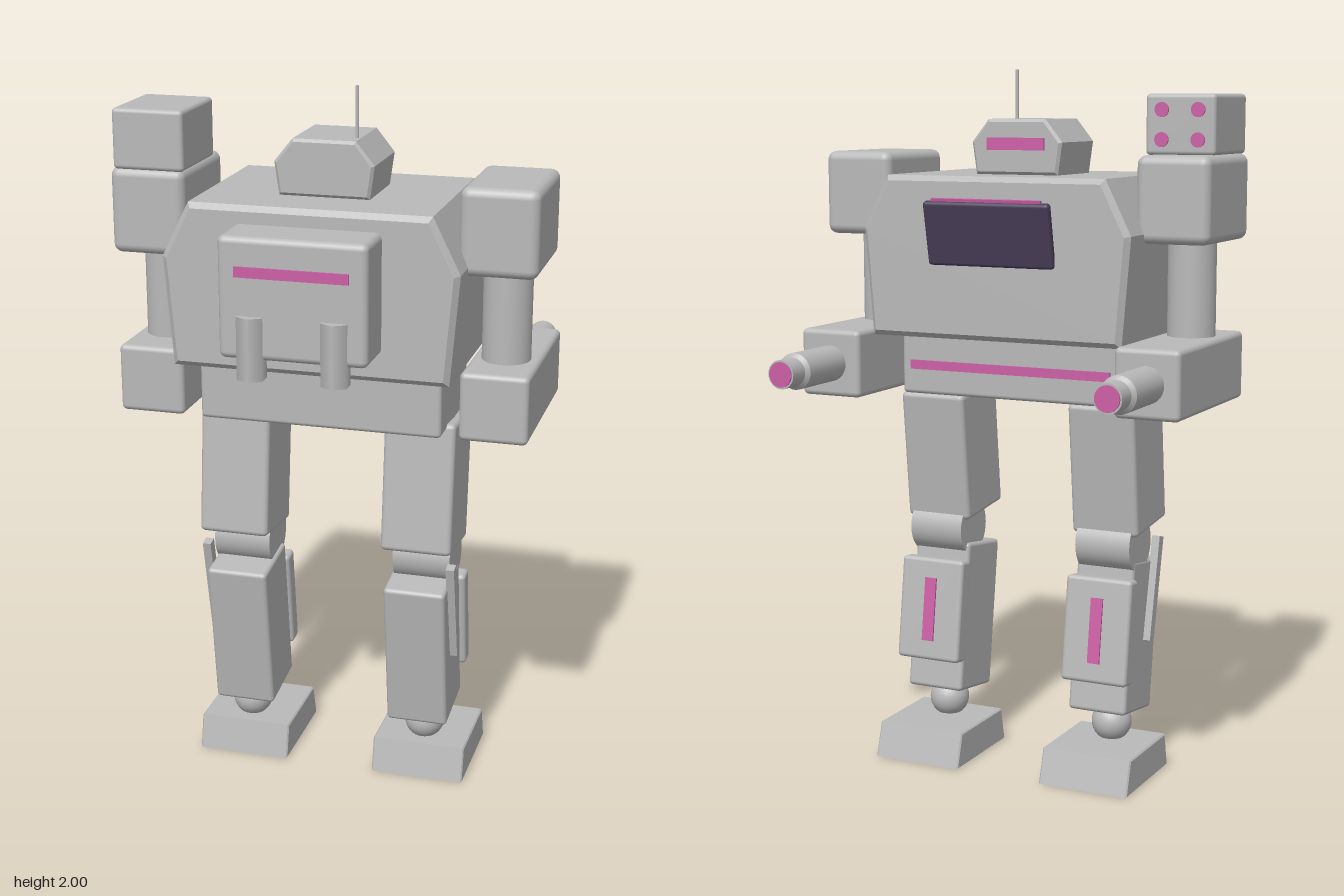
import * as THREE from 'three';
import { RoundedBoxGeometry } from 'three/addons/geometries/RoundedBoxGeometry.js';

const mat = (name, color) => {
  const m = new THREE.MeshStandardMaterial({ color });
  m.name = name;
  return m;
};

export function createModel() {
  const grey = mat('armour grey', 0xb9b9b9);
  const pink = mat('glowing pink', 0xcc5fa5);
  const purple = mat('dark purple glass', 0x4b3f5a);

  const root = new THREE.Group();
  root.name = 'walkerRobot';

  const add = (parent, name, geo, material, x, y, z, rx = 0) => {
    const m = new THREE.Mesh(geo, material);
    m.name = name;
    m.position.set(x, y, z);
    m.rotation.x = rx;
    parent.add(m);
    return m;
  };
  const rbox = (w, h, d, r = 0.012) => new RoundedBoxGeometry(w, h, d, 3, r);
  const box = (w, h, d) => new THREE.BoxGeometry(w, h, d);
  const group = (name, parent = root) => {
    const g = new THREE.Group();
    g.name = name;
    parent.add(g);
    return g;
  };
  // Outline extruded with a small bevel, spanning exactly `depth`
  const slab = (pts, depth, bevel) => {
    const shape = new THREE.Shape(pts.map(([x, y]) => new THREE.Vector2(x, y)));
    const geo = new THREE.ExtrudeGeometry(shape, {
      depth: depth - 2 * bevel, bevelEnabled: bevel > 0, bevelSize: bevel,
      bevelThickness: bevel, bevelOffset: -bevel, bevelSegments: 1,
    });
    return geo.translate(0, 0, bevel - depth / 2);
  };

  // Torso and pelvis
  const body = group('body');
  add(body, 'torso', slab([
    [-0.38, 1.26], [0.38, 1.26], [0.405, 1.56], [0.33, 1.71], [-0.33, 1.71], [-0.405, 1.56],
  ], 0.53, 0.015), grey, 0, 0, 0.075);
  add(body, 'pelvis', rbox(0.68, 0.18, 0.325), grey, 0, 1.173, 0.0775);
  add(body, 'pelvisStripe', box(0.62, 0.026, 0.008), pink, 0, 1.168, -0.087);

  // Tilted windscreen with a lit upper rim
  const screen = group('windscreen', body);
  screen.position.set(0, 1.555, -0.207);
  screen.rotation.x = -0.2;
  add(screen, 'glass', rbox(0.38, 0.18, 0.026, 0.01), purple, 0, 0, 0);
  add(screen, 'glassRim', box(0.33, 0.009, 0.008), pink, 0, 0.0935, 0);

  // Head with eye slit and antenna
  const head = group('head');
  add(head, 'headShell', slab([
    [-0.125, 1.71], [0.125, 1.71], [0.138, 1.8], [0.087, 1.863], [-0.087, 1.863], [-0.138, 1.8],
  ], 0.225, 0.008), grey, 0, 0, 0.0745);
  add(head, 'eyeSlit', box(0.175, 0.034, 0.008), pink, 0, 1.795, -0.041);
  add(head, 'antenna', new THREE.CylinderGeometry(0.005, 0.005, 0.15, 8), grey, 0.075, 1.925, 0.125);

  // Backpack with vent and exhausts
  const pack = group('backpack');
  add(pack, 'packBox', rbox(0.4, 0.325, 0.16, 0.018), grey, 0, 1.5, 0.4);
  add(pack, 'packStripe', box(0.305, 0.028, 0.008), pink, 0, 1.572, 0.482);
  for (const s of [-1, 1]) {
    const pipe = new THREE.CylinderGeometry(0.04, 0.04, 0.17, 6);
    add(pack, 'exhaust', pipe, grey, s * 0.113, 1.37, 0.468);
  }

  for (const s of [-1, 1]) {
    // Arm ending in a gun
    const arm = group(s > 0 ? 'leftArm' : 'rightArm');
    const ax = s * 0.482;
    add(arm, 'shoulder', rbox(0.21, 0.236, 0.325, 0.025), grey, ax, 1.652, 0.075);
    add(arm, 'upperArm', new THREE.CylinderGeometry(0.067, 0.067, 0.28, 28), grey, ax, 1.4, 0.077);
    add(arm, 'forearm', rbox(0.187, 0.19, 0.495, 0.015), grey, ax, 1.18, -0.003);
    const gun = group('gun', arm);
    gun.position.set(ax, 1.18, -0.24);
    gun.rotation.x = -Math.PI / 2;
    const ring = (name, r0, r1, y0, y1, m = grey) => add(gun, name,
      new THREE.CylinderGeometry(r1, r0, y1 - y0, 28), m, 0, (y0 + y1) / 2, 0);
    ring('barrel', 0.051, 0.051, 0, 0.195);
    ring('barrelCollar', 0.051, 0.04, 0.195, 0.205);
    ring('muzzle', 0.04, 0.04, 0.205, 0.265);
    ring('muzzleGlow', 0.035, 0.035, 0.265, 0.269, pink);

    // Leg with bent knee
    const leg = group(s > 0 ? 'leftLeg' : 'rightLeg');
    const lx = s * 0.265;
    add(leg, 'thigh', rbox(0.2, 0.375, 0.222, 0.014), grey, lx, 0.903, 0.077, -0.105);
    const knee = new THREE.CylinderGeometry(0.08, 0.08, 0.165, 28).rotateZ(Math.PI / 2);
    add(leg, 'knee', knee, grey, lx, 0.675, 0.05);
    const shin = group('lowerLeg', leg);
    shin.position.set(lx, 0.403, 0.073);
    shin.rotation.x = 0.138;
    add(shin, 'shin', rbox(0.176, 0.44, 0.198), grey, -s * 0.004, 0, 0);
    add(shin, 'shinGuard', rbox(0.2, 0.3, 0.055), grey, 0, 0.02, -0.122);
    add(shin, 'shinStripe', box(0.036, 0.185, 0.008), pink, 0, 0.02, -0.151);
    add(leg, 'calfRod', box(0.024, 0.3, 0.03), grey, s * 0.358, 0.532, 0.125, 0.225);
    add(leg, 'ankle', new THREE.SphereGeometry(0.058, 24, 16), grey, lx, 0.145, 0.05);
    const foot = slab([[-0.15, 0], [0.16, 0], [0.13, 0.1], [-0.128, 0.1]], 0.27, 0.004);
    add(leg, 'foot', foot.rotateY(Math.PI / 2), grey, lx, 0, 0);
  }

  // Rocket pod on the right shoulder
  const pod = group('rocketPod');
  pod.position.set(-0.47, 1.85, 0.125);
  add(pod, 'podBox', rbox(0.2, 0.164, 0.25), grey, 0, 0, 0);
  for (const i of [-1, 1]) for (const j of [-1, 1]) {
    const tube = new THREE.CylinderGeometry(0.02, 0.02, 0.008, 20).rotateX(Math.PI / 2);
    add(pod, 'rocketTube', tube, pink, i * 0.052, j * 0.04, -0.126);
  }
  return root;
}
